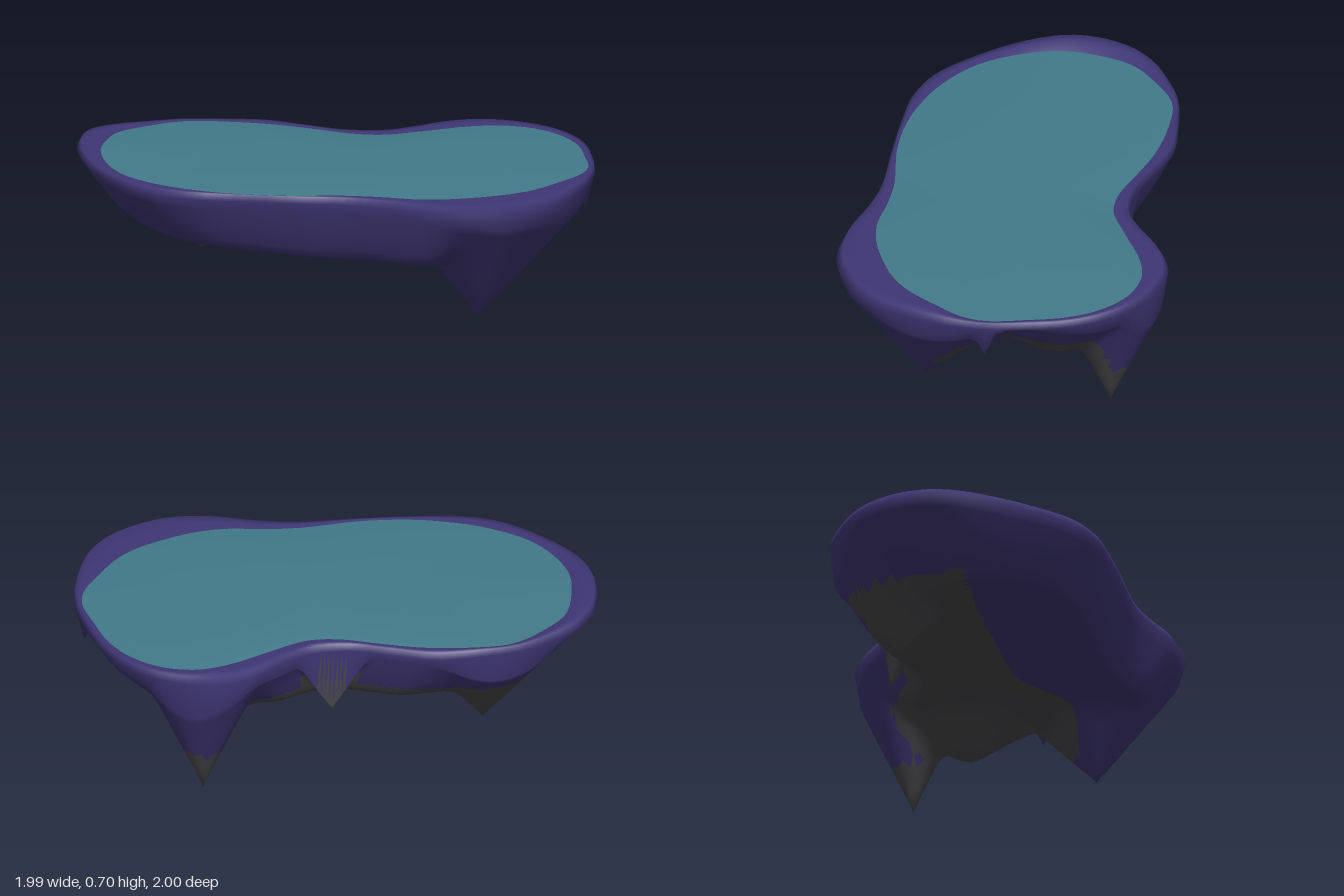
import * as THREE from 'three';

const N = 160;  // points around each ring
const R = 36;   // rings across the underside
const { lerp, smoothstep } = THREE.MathUtils;

// Island outline and the edge of its flat top, as x, z
const OUTER = [[-0.55, -1], [-0.4, -0.98], [-0.26, -0.94], [-0.1, -0.84], [0.04, -0.73], [0.14, -0.57], [0.23, -0.42],
  [0.37, -0.31], [0.5, -0.285], [0.7, -0.27], [0.82, -0.22], [0.92, -0.1], [0.98, 0.05], [0.99, 0.2], [0.96, 0.35],
  [0.88, 0.52], [0.78, 0.68], [0.65, 0.81], [0.42, 0.96], [0.28, 0.995], [0.16, 0.985], [0, 0.93], [-0.15, 0.79],
  [-0.25, 0.63], [-0.35, 0.5], [-0.55, 0.32], [-0.75, 0.14], [-0.88, 0.01], [-0.97, -0.15], [-0.995, -0.35],
  [-0.97, -0.58], [-0.87, -0.8], [-0.7, -0.96]];
const INNER = [[-0.45, -0.92], [-0.25, -0.9], [-0.1, -0.79], [0.04, -0.64], [0.15, -0.47], [0.23, -0.34], [0.33, -0.25],
  [0.5, -0.2], [0.7, -0.15], [0.83, -0.08], [0.92, 0.05], [0.945, 0.2], [0.92, 0.35], [0.85, 0.5], [0.76, 0.66],
  [0.67, 0.73], [0.55, 0.77], [0.4, 0.81], [0.3, 0.815], [0.2, 0.8], [0, 0.73], [-0.12, 0.65], [-0.23, 0.53],
  [-0.34, 0.43], [-0.56, 0.28], [-0.71, 0.14], [-0.8, 0.02], [-0.88, -0.13], [-0.93, -0.33], [-0.91, -0.5],
  [-0.83, -0.68], [-0.72, -0.8], [-0.58, -0.9]];

// Hanging rock spikes: tip, slope and curve of the flanks, w < 1 stretches the +x flank
const SPIKES = [
  { x: 0.22, y: 0.08, z: 0.62, k: 1.35, p: 1, w: 0.7 },
  { x: 0.71, y: 0, z: 0, k: 2.1, p: 0.97, w: 1 },
  { x: -0.33, y: 0.17, z: -0.65, k: 1.2, p: 1, w: 1 },
  { x: 0.48, y: 0.18, z: 0.15, k: 1.2, p: 1.3, w: 0.85 },
  { x: 0.28, y: 0.34, z: -0.345, k: 1.6, p: 1, w: 1 },
  { x: 0.75, y: 0.48, z: 0.655, k: 2.2, p: 1, w: 1 },
];

// Resample an outline at N even angles, clockwise from above
function radial(points) {
  const curve = new THREE.CatmullRomCurve3(points.map(([x, z]) => new THREE.Vector3(x, 0, z)), true);
  const dense = curve.getPoints(1500);
  return Array.from({ length: N }, (_, j) => {
    const a = (j / N) * Math.PI * 2, cx = Math.cos(a), cz = Math.sin(a);
    let best = dense[0], bestDot = -2;
    for (const p of dense) {
      const dot = (p.x * cx + p.z * cz) / p.length();
      if (dot > bestDot) { bestDot = dot; best = p; }
    }
    return best.clone();
  });
}

// Skin a list of rings; pick(centre) gives each triangle's material index
function skin(rings, materials, pick) {
  const verts = rings.flat();
  const lists = materials.map(() => []);
  const addTri = (a, b, c) => {
    const mid = verts[a].clone().add(verts[b]).add(verts[c]).divideScalar(3);
    lists[pick(mid)].push(a, b, c);
  };
  for (let i = 0; i < rings.length - 1; i++) {
    for (let j = 0; j < N; j++) {
      const k = (j + 1) % N;
      const a = i * N + j, b = i * N + k, c = b + N, d = a + N;
      addTri(a, b, c);
      addTri(a, c, d);
    }
  }
  const geo = new THREE.BufferGeometry().setFromPoints(verts);
  geo.setIndex(lists.flat());
  let start = 0;
  lists.forEach((list, m) => { geo.addGroup(start, list.length, m); start += list.length; });
  geo.computeVertexNormals();
  return new THREE.Mesh(geo, materials);
}

// The rim rises at the back corner, the ground beside it less so
const bump = (x, z) => 0.04 * Math.exp(-((x + 0.8) ** 2 + (z + 0.78) ** 2) / 0.09);
const rimY = (x, z) => 0.66 + bump(x, z);
const groundY = (x, z) => 0.656 + 0.4 * bump(x, z);

// Minimum of two heights with a soft seam
function softMin(a, b) {
  const h = Math.max(0, 0.05 - Math.abs(a - b));
  return Math.min(a, b) - h * h * 5;
}

// Height of the underside: wall (steep on the left, wide on the front lobe), belly, then spikes
function underY(x, z, s) {
  const front = smoothstep(x + 0.4 * z, 0.15, 0.6);
  const belly = 0.36 + 0.1 * Math.max(0, -x - 0.4) - 0.1 * Math.exp(-((x - 0.48) ** 2 + (z - 0.24) ** 2) / 0.045);
  const width = lerp(lerp(0.2, 0.33, smoothstep(x - z, -0.5, 0.3)), 0.55, front);
  const wall = Math.max(0, 1 - (1 - s) / width) ** 1.5;
  let y = lerp(belly, rimY(x, z) - 0.03, wall);
  if (s < 0.985) {
    for (const t of SPIKES) {
      const dx = (x - t.x) * (x > t.x ? t.w : 1);
      y = softMin(y, t.y + t.k * Math.hypot(dx, z - t.z) ** t.p);
    }
  }
  return y;
}

// Dark rock covers the belly, the inner sides of the spikes and the notch
function isDark({ x, y, z }) {
  const top = Math.hypot(x - 0.28, z + 0.34) < 0.13 ? 0.5 : 0.42;
  const leftEdge = lerp(0.1, 0.35, smoothstep(x + z, 0, 0.6));
  if (y > top || z > 0.68 || z - 0.9 * x > leftEdge) return false;
  const outerFlank = x > 0.62 && y > 0.2 && z < 0.03 + 0.55 * (y - 0.2);
  const frontTip = z > 0.4 && y < 0.2;
  return !outerFlank && !frontTip;
}

export function createModel() {
  const grass = new THREE.MeshStandardMaterial({ color: 0x427a8a });
  grass.name = 'teal ground';
  const soil = new THREE.MeshStandardMaterial({ color: 0x3f3674 });
  soil.name = 'purple rock';
  const rock = new THREE.MeshStandardMaterial({ color: 0x48484b });
  rock.name = 'dark rock';

  const outer = radial(OUTER), inner = radial(INNER);
  const group = new THREE.Group();
  group.name = 'floatingIsland';

  // Flat ground on top, gently domed
  const topRings = [0, 0.2, 0.4, 0.6, 0.8, 0.92, 1].map((s) => inner.map((p) => {
    const y = lerp(0.672, groundY(p.x, p.z), s ** 3);
    return new THREE.Vector3(p.x * s, y, p.z * s);
  }));
  const ground = skin(topRings, [grass], () => 0);
  ground.name = 'ground';
  group.add(ground);

  // Rounded lip, wall and underside in one skin
  const lip = [[0, 0], [0.45, 0.9], [0.85, 1]].map(([t, rise]) => outer.map((p, j) => {
    const v = inner[j].clone().lerp(p, t);
    v.y = lerp(groundY(v.x, v.z), rimY(v.x, v.z), rise);
    return v;
  }));
  const under = Array.from({ length: R + 1 }, (_, i) => {
    const s = 1 - i / R;
    return outer.map((p) => new THREE.Vector3(p.x * s, underY(p.x * s, p.z * s, s), p.z * s));
  });
  // Pull the nearest point onto each spike tip
  for (const t of SPIKES) {
    const tip = new THREE.Vector3(t.x, t.y, t.z);
    const flat = (v) => Math.hypot(v.x - t.x, v.z - t.z);
    under.slice(1, R).flat().reduce((a, b) => (flat(b) < flat(a) ? b : a)).copy(tip);
  }
  const body = skin([...lip, ...under], [soil, rock], (c) => (isDark(c) ? 1 : 0));
  body.name = 'rockBody';
  group.add(body);

  return group;
}
